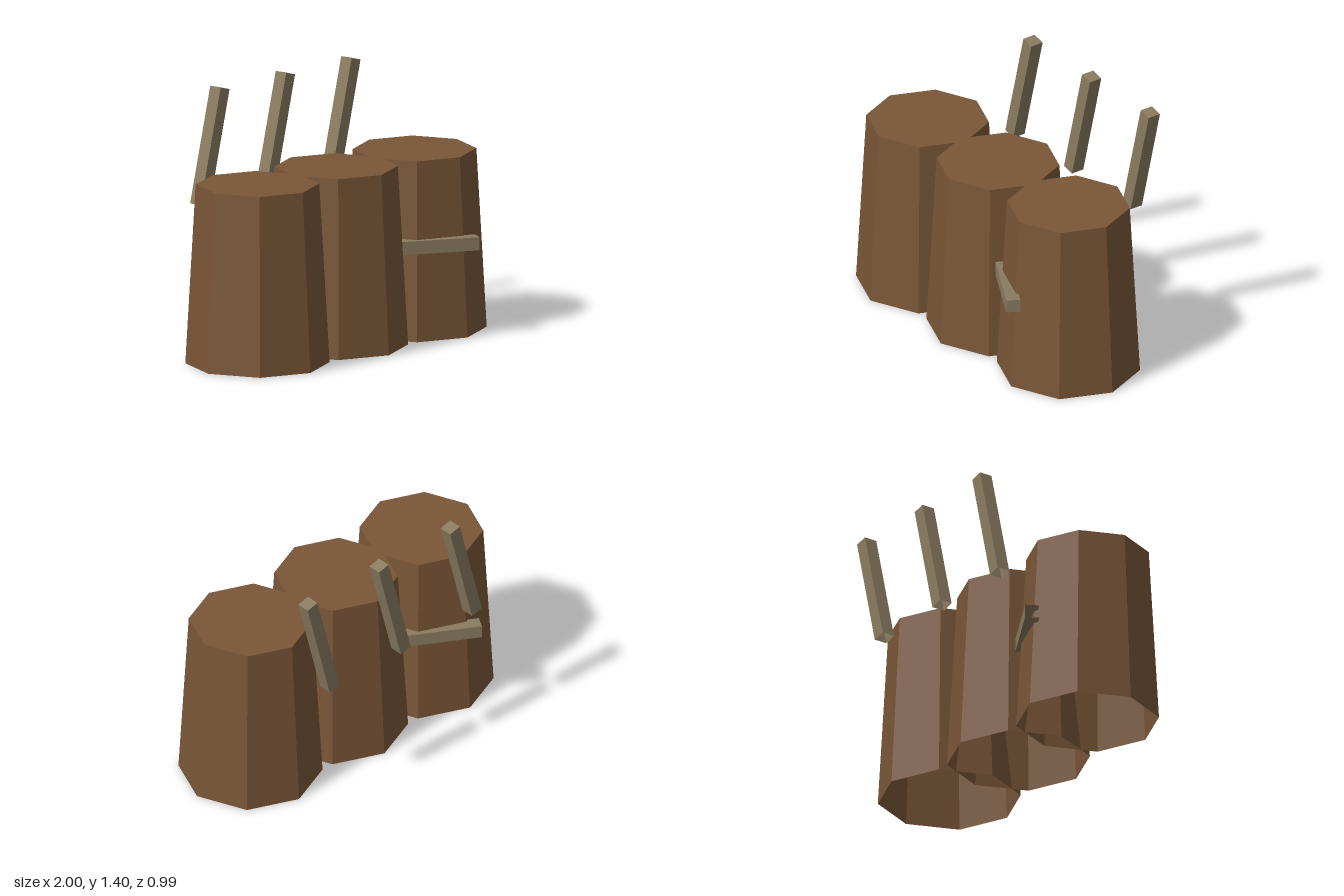
import * as THREE from 'three';

const mat = (name, color) => {
  const m = new THREE.MeshStandardMaterial({ color });
  m.name = name;
  m.flatShading = true;
  m.side = THREE.DoubleSide;
  return m;
};

export function createModel() {
  const group = new THREE.Group();
  const bark = mat('brown wood', 0x7a5638);
  const stickWood = mat('grey wood', 0x8a7c60);

  const H = 0.975, R_TOP = 0.33, R_BOTTOM = 0.385;

  // Three tapered octagonal logs, hollow and open at the bottom
  const sideGeo = new THREE.CylinderGeometry(R_TOP, R_BOTTOM, H, 8, 1, true);
  const topGeo = new THREE.CircleGeometry(R_TOP, 8).rotateX(-Math.PI / 2);
  ['right', 'middle', 'left'].forEach((side, i) => {
    const log = new THREE.Group();
    log.name = side + 'Log';
    const wall = new THREE.Mesh(sideGeo, bark);
    wall.name = 'logWall';
    wall.position.y = H / 2;
    const top = new THREE.Mesh(topGeo, bark);
    top.name = 'logTop';
    top.position.y = H;
    log.add(wall, top);
    log.position.set((i - 1) * 0.615, 0, 0.055);
    group.add(log);
  });

  // Square stick whose lower end is open
  function addStick(name, length, position, rotation) {
    const geo = new THREE.BoxGeometry(0.072, length, 0.076);
    const index = Array.from(geo.index.array);
    index.splice(18, 6); // drop the -y face
    geo.setIndex(index);
    geo.clearGroups();
    const stick = new THREE.Mesh(geo, stickWood);
    stick.name = name;
    stick.position.set(...position);
    stick.rotation.set(...rotation);
    group.add(stick);
  }

  // Leaning sticks behind the logs
  ['right', 'middle', 'left'].forEach((side, i) =>
    addStick(side + 'LeaningStick', 0.637, [0.075 + (i - 1) * 0.5125, 1.078, -0.457], [0, 0, -0.25]));

  // Level sticks at the front and back
  const level = [0, -Math.PI / 6, -Math.PI / 2];
  addStick('frontLevelStick', 0.443, [0.475, 0.515, 0.355], level);
  addStick('backLevelStick', 0.443, [-0.477, 0.515, -0.243], level);

  return group;
}
